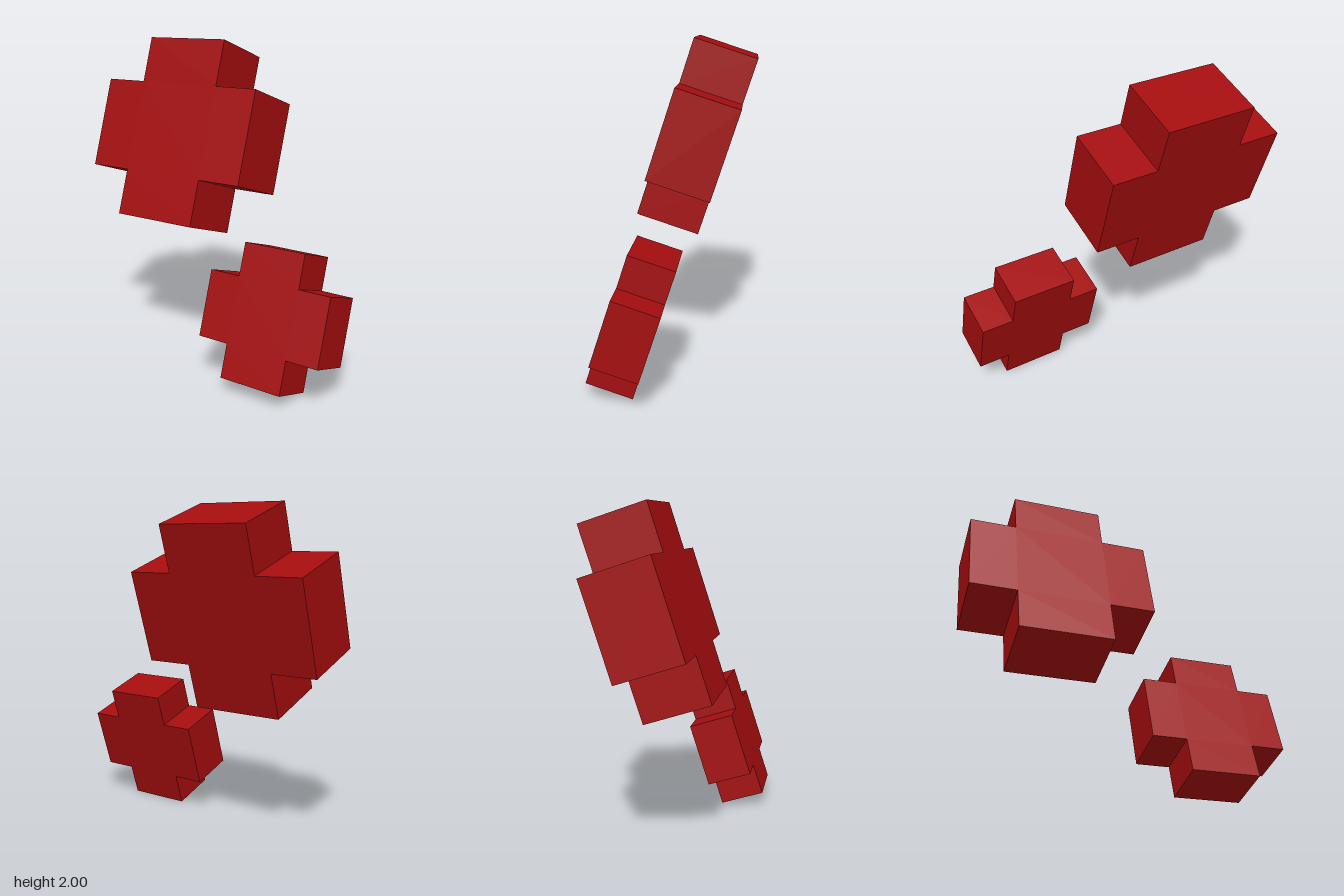
import * as THREE from 'three';

// Plus-shaped outline: half is the arm reach, w is half the arm width
function plusShape(half, w) {
  const quarter = [[half, -w], [half, w], [w, w]];
  const points = [];
  for (let i = 0; i < 4; i++) {
    for (const [x, y] of quarter) {
      let p = [x, y];
      for (let k = 0; k < i; k++) p = [-p[1], p[0]];
      points.push(new THREE.Vector2(p[0], p[1]));
    }
  }
  return new THREE.Shape(points);
}

// Thick plus leaning backwards
function makePlus(name, half, depth, position, material) {
  const geometry = new THREE.ExtrudeGeometry(plusShape(half, half / 2), { depth, bevelEnabled: false });
  geometry.translate(0, 0, -depth / 2);
  const mesh = new THREE.Mesh(geometry, material);
  mesh.name = name;
  mesh.position.set(...position);
  mesh.rotation.x = -THREE.MathUtils.degToRad(18);
  return mesh;
}

export function createModel() {
  const group = new THREE.Group();
  group.name = 'plusSigns';
  const red = new THREE.MeshStandardMaterial({ color: 0xa30d0f });
  red.name = 'red';

  group.add(makePlus('largePlus', 0.581, 0.41, [-0.344, 1.385, -0.099], red));
  group.add(makePlus('smallPlus', 0.403, 0.284, [0.519, 0.43, 0.21], red));
  return group;
}
